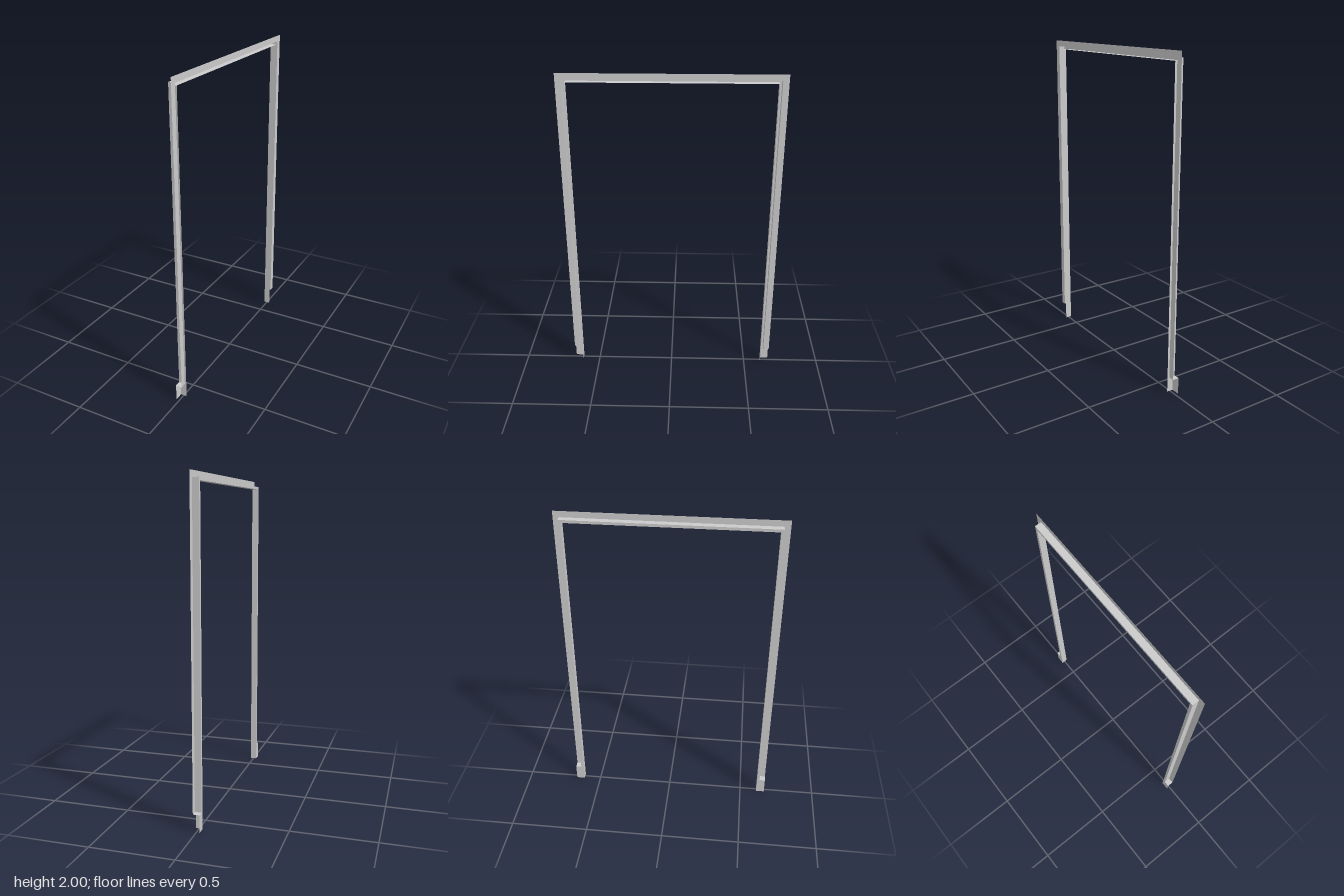
import * as THREE from 'three';

const W = 0.02;          // half depth of the profile in x
const HALF = 0.667;      // outer half width in z
const TOP = 2;           // outer height
const CAP = 0.105;       // height where the outer flange stops
const D1 = 0.037;        // inset of the rebate
const D2 = 0.054;        // inset of the inner lining

const material = new THREE.MeshStandardMaterial({ color: 0xcccccc, side: THREE.DoubleSide });

// Three-sided path of the frame at a given inset, from one foot over the head to the other
function framePath(x, inset, footY) {
  const z = HALF - inset, y = TOP - inset;
  return [[x, footY, z], [x, y, z], [x, y, -z], [x, footY, -z]];
}

// Flat-shaded sheet between two paths of equal length
function sheet(name, outer, inner) {
  const positions = [];
  for (let i = 0; i < outer.length - 1; i++) {
    const a = outer[i], b = inner[i], c = inner[i + 1], d = outer[i + 1];
    positions.push(...a, ...b, ...c, ...a, ...c, ...d);
  }
  const geometry = new THREE.BufferGeometry();
  geometry.setAttribute('position', new THREE.Float32BufferAttribute(positions, 3));
  geometry.computeVertexNormals();
  const mesh = new THREE.Mesh(geometry, material);
  mesh.name = name;
  return mesh;
}

// One bend of the folded profile swept around the mitred frame
function strip(name, [x0, d0], [x1, d1], footY) {
  return sheet(name, framePath(x0, d0, footY), framePath(x1, d1, footY));
}

export function createModel() {
  const group = new THREE.Group();
  group.name = 'doorFrame';

  // Folded sheet profile, from outer flange to inner lining
  group.add(
    strip('outerFlange', [W, 0], [W, D1], CAP),
    strip('rebateWeb', [W, D1], [-W, D1], CAP),
    strip('backReturn', [-W, D1], [-W, D2], 0),
    strip('innerLining', [-W, D2], [W, D2], 0)
  );

  // Feet: back plate below the flange and a cap over the notch
  for (const [side, s] of [['front', 1], ['rear', -1]]) {
    const zo = s * HALF, zi = s * (HALF - D1);
    group.add(
      sheet(side + 'FootPlate', [[-W, 0, zo], [-W, CAP, zo]], [[-W, 0, zi], [-W, CAP, zi]]),
      sheet(side + 'FootCap', [[-W, CAP, zo], [W, CAP, zo]], [[-W, CAP, zi], [W, CAP, zi]])
    );
  }
  return group;
}
